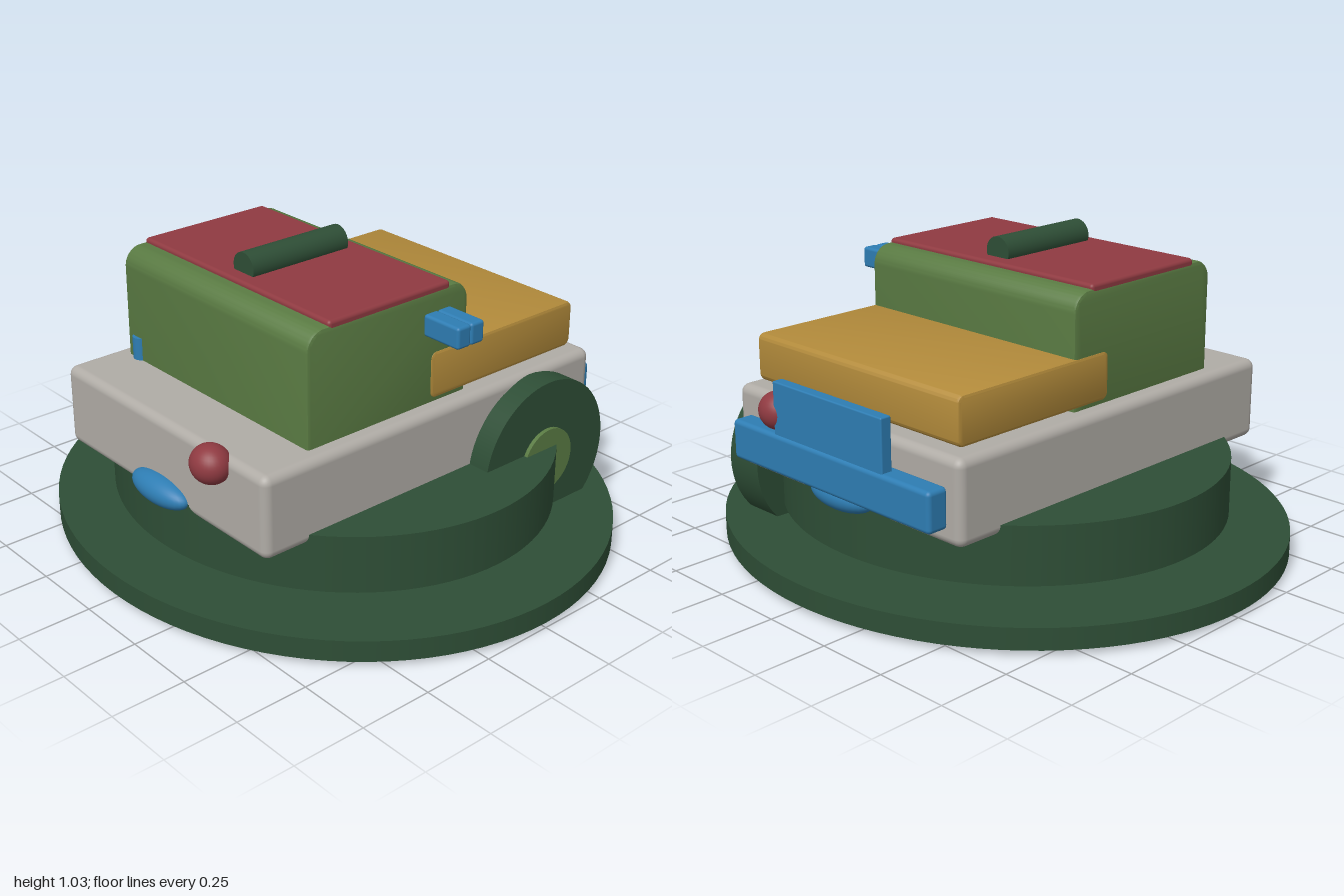
import * as THREE from 'three';
import { toCreasedNormals } from 'three/addons/utils/BufferGeometryUtils.js';
import { RoundedBoxGeometry } from 'three/addons/geometries/RoundedBoxGeometry.js';

const paint = (name, color) => {
  const m = new THREE.MeshStandardMaterial({ color });
  m.name = name;
  return m;
};

export function createModel() {
  const model = new THREE.Group();
  model.name = 'toyTruck';
  const darkGreen = paint('dark green', 0x2e4e36);
  const green = paint('leaf green', 0x5a7b43);
  const red = paint('brick red', 0x8f3a41);
  const grey = paint('warm grey', 0xb0aca6);
  const amber = paint('amber', 0xb38b3b);
  const blue = paint('blue', 0x2e7db3);

  const add = (name, geometry, material, x, y, z) => {
    const mesh = new THREE.Mesh(geometry, material);
    mesh.name = name;
    mesh.position.set(x, y, z);
    model.add(mesh);
    return mesh;
  };

  // Box given by its limits, with rounded edges
  const box = (name, material, [x0, x1], [y0, y1], [z0, z1], radius) =>
    add(name, new RoundedBoxGeometry(x1 - x0, y1 - y0, z1 - z0, 3, radius), material,
      (x0 + x1) / 2, (y0 + y1) / 2, (z0 + z1) / 2);

  // Upright elliptical disc
  const disc = (name, rx, rz, y0, y1) => {
    const g = new THREE.CylinderGeometry(1, 1, y1 - y0, 96);
    g.scale(rx, 1, rz);
    return add(name, g, darkGreen, 0, (y0 + y1) / 2, 0);
  };

  // Rounded profile in x and y, extruded along z with a slim bevel
  const roundedBlock = (name, material, [x0, x1], [y0, y1], halfDepth, r) => {
    const b = 0.01;
    const w = (x1 - x0) / 2 - b, h = (y1 - y0) / 2 - b;
    const s = new THREE.Shape();
    s.absarc(w - r, h - r, r, 0, Math.PI / 2);
    s.absarc(r - w, h - r, r, Math.PI / 2, Math.PI);
    s.absarc(r - w, r - h, r, Math.PI, Math.PI * 1.5);
    s.absarc(w - r, r - h, r, Math.PI * 1.5, Math.PI * 2);
    const g = new THREE.ExtrudeGeometry(s, {
      depth: 2 * (halfDepth - b), bevelEnabled: true, bevelSize: b,
      bevelThickness: b, bevelSegments: 2, curveSegments: 8,
    });
    g.translate(0, 0, b - halfDepth);
    return add(name, toCreasedNormals(g, 0.6), material, (x0 + x1) / 2, (y0 + y1) / 2, 0);
  };

  // Base and turntable
  disc('basePlate', 0.905, 1, 0.02, 0.092);
  disc('turntable', 0.717, 0.79, 0.13, 0.325);

  // Chassis, cab and bonnet
  box('chassis', grey, [-0.705, 0.703], [0.29, 0.568], [-0.52, 0.52], 0.03);
  roundedBlock('cab', green, [-0.494, 0.16], [0.48, 0.945], 0.463, 0.055);
  roundedBlock('bonnet', amber, [0.005, 0.656], [0.578, 0.738], 0.467, 0.015);

  // Roof panel and its bar
  box('roofPanel', red, [-0.41, 0.083], [0.925, 0.96], [-0.462, 0.462], 0.012);
  const bar = add('roofBar', new THREE.CylinderGeometry(0.05, 0.05, 0.387, 32), darkGreen, -0.167, 0.978, 0);
  bar.rotation.z = Math.PI / 2;

  // Single front wheel with hub
  const wheel = add('wheel', new THREE.CylinderGeometry(0.278, 0.278, 0.145, 64), darkGreen, 0.413, 0.28, 0.527);
  wheel.rotation.x = Math.PI / 2;
  const hub = add('wheelHub', new THREE.CylinderGeometry(0.112, 0.112, 0.14, 40), green, 0.413, 0.28, 0.543);
  hub.rotation.x = Math.PI / 2;

  // Grille and bumper on the +x end
  box('grille', blue, [0.725, 0.765], [0.4, 0.648], [-0.255, 0.255], 0.005);
  box('bumper', blue, [0.695, 0.773], [0.342, 0.475], [-0.463, 0.463], 0.015);

  // Twin mirror blocks
  for (const x of [-0.058, -0.0025])
    box('mirror', blue, [x, x + 0.0555], [0.823, 0.895], [0.49, 0.64], 0.01);

  // Small post at the rear corner of the cab
  add('exhaustPost', new THREE.CylinderGeometry(0.03, 0.03, 0.145, 24), blue, -0.478, 0.573, -0.41);

  // Lamps and oval bosses on both ends
  for (const side of [-1, 1]) {
    const lamp = new THREE.SphereGeometry(1, 32, 20);
    lamp.scale(0.063, 0.063, 0.07);
    add('lamp', lamp, red, side * 0.72, 0.534, 0.285);
    const boss = new THREE.SphereGeometry(1, 32, 20);
    boss.scale(0.055, 0.049, 0.138);
    add('sideBoss', boss, blue, side * 0.708, 0.325, 0);
  }
  return model;
}
